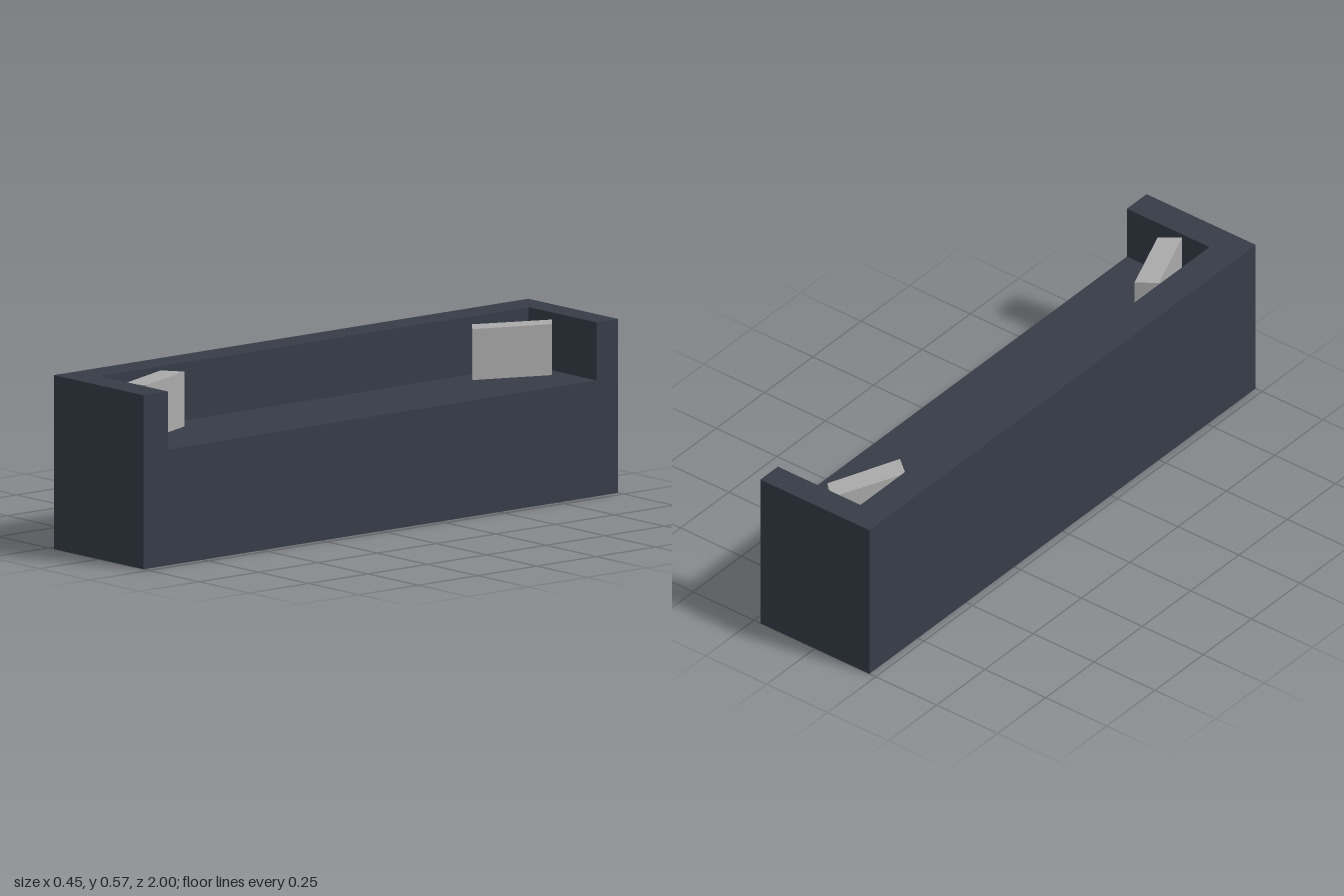
import * as THREE from 'three';

// Upright prism from a plan outline of [x, z] points
function prism(name, outline, y0, y1, material) {
  const shape = new THREE.Shape(outline.map(([x, z]) => new THREE.Vector2(x, -z)));
  const geometry = new THREE.ExtrudeGeometry(shape, { depth: y1 - y0, bevelEnabled: false });
  geometry.rotateX(-Math.PI / 2).translate(0, y0, 0);
  const mesh = new THREE.Mesh(geometry, material);
  mesh.name = name;
  return mesh;
}

export function createModel() {
  const group = new THREE.Group();
  group.name = 'sofa';
  const slate = new THREE.MeshStandardMaterial({ color: 0x363c48 });
  slate.name = 'slate upholstery';
  const grey = new THREE.MeshStandardMaterial({ color: 0xaaaaaa });
  grey.name = 'grey cushion';

  const w = 0.224, top = 0.57, seat = 0.38, inner = -0.115;
  const armFront = 0.898, armBack = -0.909;

  // Solid seat block
  group.add(prism('seatBase', [[-w, 1], [w, 1], [w, -1], [-w, -1]], 0, seat, slate));

  // Backrest and both arms as one U-shaped wall
  group.add(prism('backrestAndArms', [
    [-w, 1], [w, 1], [w, armFront], [inner, armFront],
    [inner, armBack], [w, armBack], [w, -1], [-w, -1],
  ], seat, top, slate));

  // Loose cushions turned across the two corners
  group.add(prism('frontCushion',
    [[-0.005, 0.895], [0.057, 0.846], [-0.038, 0.607], [-0.102, 0.653]], seat, 0.56, grey));
  group.add(prism('backCushion',
    [[0.003, -0.907], [0.062, -0.857], [-0.038, -0.607], [-0.102, -0.659]], seat, 0.547, grey));

  return group;
}
